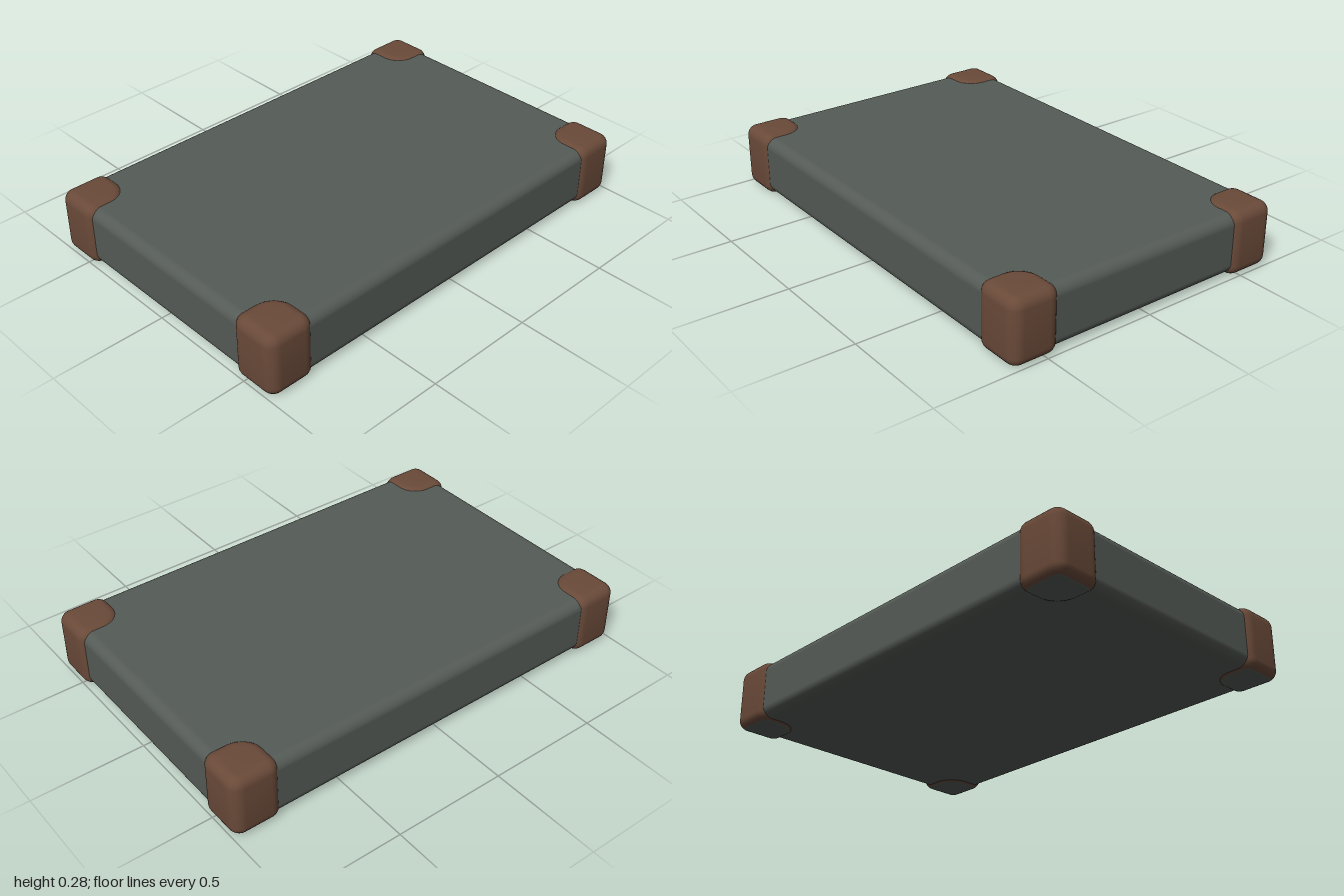
import * as THREE from 'three';
import { toCreasedNormals } from 'three/addons/utils/BufferGeometryUtils.js';
import { RoundedBoxGeometry } from 'three/addons/geometries/RoundedBoxGeometry.js';

const CAP = 0.22, HEIGHT = 0.285, BEVEL = 0.045;

// Square footprint with a tight outer corner and a broad inner corner
function capShape() {
  const h = CAP / 2, r = 0.05, inner = 0.11;
  const s = new THREE.Shape();
  s.moveTo(-h + inner, -h);
  s.lineTo(h - r, -h);
  s.absarc(h - r, -h + r, r, -Math.PI / 2, 0);
  s.lineTo(h, h - r);
  s.absarc(h - r, h - r, r, 0, Math.PI / 2);
  s.lineTo(-h + r, h);
  s.absarc(-h + r, h - r, r, Math.PI / 2, Math.PI);
  s.lineTo(-h, -h + inner);
  s.absarc(-h + inner, -h + inner, inner, Math.PI, Math.PI * 1.5);
  return s;
}

// Cap standing on y = 0; its downward faces go to the second material
function capGeometry() {
  let geo = new THREE.ExtrudeGeometry(capShape(), {
    depth: HEIGHT - 2 * BEVEL, curveSegments: 8,
    bevelEnabled: true, bevelThickness: BEVEL, bevelSize: BEVEL,
    bevelOffset: -BEVEL, bevelSegments: 6,
  });
  geo.translate(0, 0, BEVEL);
  geo.rotateX(-Math.PI / 2);
  geo = toCreasedNormals(geo, 0.7);
  geo.clearGroups();
  const n = geo.attributes.normal;
  for (let i = 0; i < n.count; i += 3) {
    const ny = (n.getY(i) + n.getY(i + 1) + n.getY(i + 2)) / 3;
    const m = ny < -0.85 ? 1 : 0;
    const last = geo.groups[geo.groups.length - 1];
    if (last && last.materialIndex === m) last.count += 3;
    else geo.addGroup(i, 3, m);
  }
  return geo;
}

export function createModel() {
  const slate = new THREE.MeshStandardMaterial({ color: 0x555b56 });
  slate.name = 'slateGrey';
  const leather = new THREE.MeshStandardMaterial({ color: 0x6a4a39 });
  leather.name = 'leatherBrown';

  const model = new THREE.Group();
  model.name = 'case';

  // Main slab with softened edges
  const body = new THREE.Mesh(new RoundedBoxGeometry(1.97, 0.262, 1.3, 5, 0.045), slate);
  body.name = 'body';
  body.position.y = 0.143;
  model.add(body);

  // Four corner protectors, turned so the tight corner faces outward
  const geo = capGeometry();
  const corners = [
    ['backLeftCorner', 1, -1], ['backRightCorner', -1, -1],
    ['frontRightCorner', -1, 1], ['frontLeftCorner', 1, 1],
  ];
  corners.forEach(([name, sx, sz], i) => {
    const cap = new THREE.Mesh(geo, [leather, slate]);
    cap.name = name;
    cap.rotation.y = i * Math.PI / 2;
    cap.position.set(sx * (1 - CAP / 2), 0, sz * (0.66 - CAP / 2));
    model.add(cap);
  });
  return model;
}
